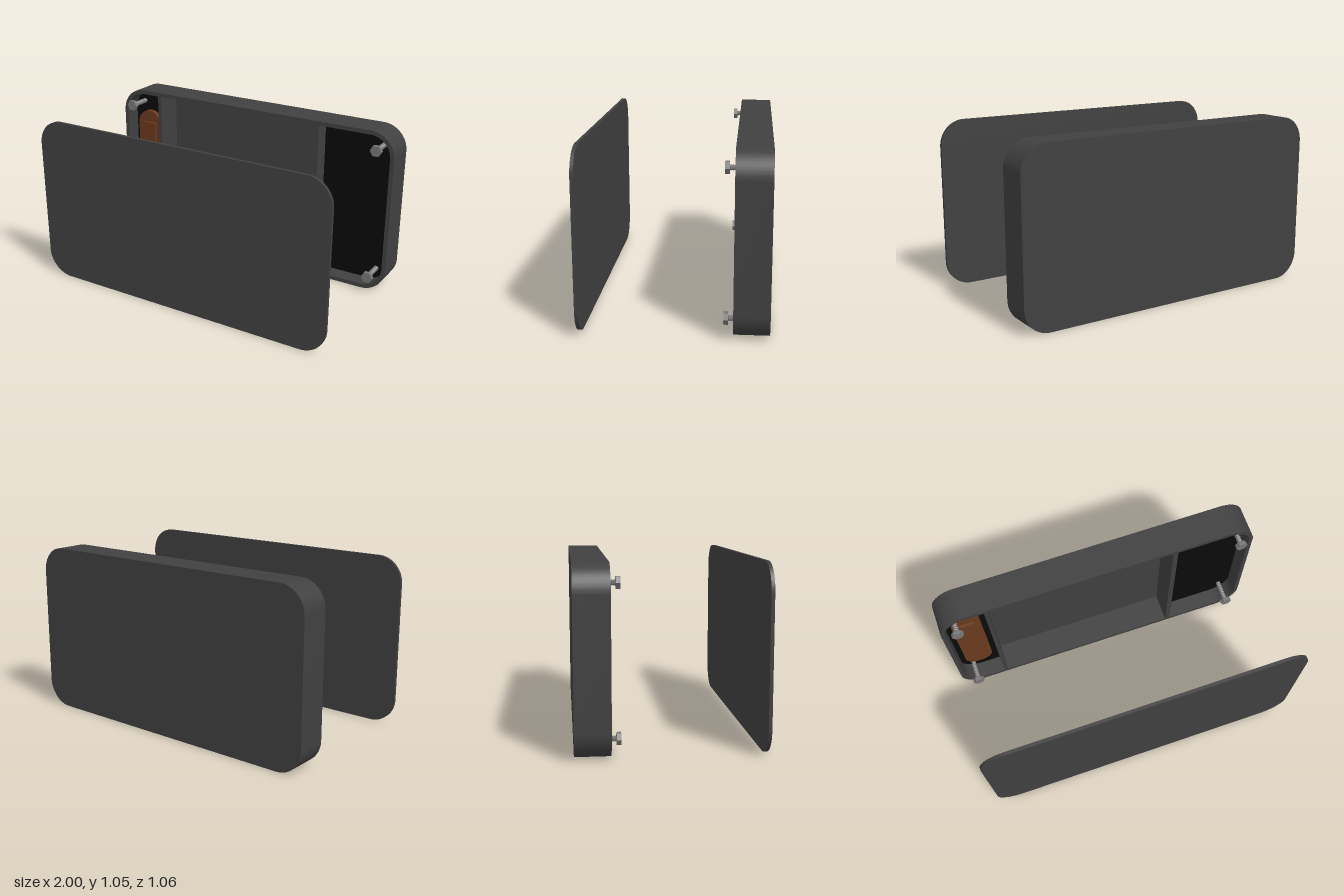
import * as THREE from 'three';
import { toCreasedNormals } from 'three/addons/utils/BufferGeometryUtils.js';

const W = 2, H = 1.055, R = 0.16, WALL = 0.026;
const MID = H / 2;
const BACK = -0.53, FLOOR = -0.51, PANEL = -0.435, RIM = -0.33;

const material = (color) => new THREE.MeshStandardMaterial({ color });

// Rounded outline from x0..x1, y0..y1 with separate radii for left and right corners
function outline(Type, x0, x1, y0, y1, rl, rr) {
  const s = new Type();
  s.moveTo(x0 + rl, y0);
  s.lineTo(x1 - rr, y0);
  if (rr) s.absarc(x1 - rr, y0 + rr, rr, -Math.PI / 2, 0);
  s.lineTo(x1, y1 - rr);
  if (rr) s.absarc(x1 - rr, y1 - rr, rr, 0, Math.PI / 2);
  s.lineTo(x0 + rl, y1);
  if (rl) s.absarc(x0 + rl, y1 - rl, rl, Math.PI / 2, Math.PI);
  s.lineTo(x0, y0 + rl);
  if (rl) s.absarc(x0 + rl, y0 + rl, rl, Math.PI, Math.PI * 1.5);
  return s;
}

// Extrude a shape between two depths, smooth around its curves
function slab(name, shape, z0, z1, mat) {
  const geo = new THREE.ExtrudeGeometry(shape, { depth: z1 - z0, bevelEnabled: false, curveSegments: 16 });
  const mesh = new THREE.Mesh(toCreasedNormals(geo, 0.6), mat);
  mesh.name = name;
  mesh.position.z = z0;
  return mesh;
}

// Hex-head screw pointing along z, origin at the front of its head
function screw(mat) {
  const g = new THREE.Group();
  g.name = 'screw';
  const hex = new THREE.Shape();
  for (let i = 0; i < 6; i++) {
    const a = (i * Math.PI) / 3;
    hex[i ? 'lineTo' : 'moveTo'](0.037 * Math.cos(a), 0.037 * Math.sin(a));
  }
  hex.closePath();
  g.add(slab('screwHead', hex, -0.025, 0, mat));

  // Threaded shaft as a ridged profile
  const profile = [new THREE.Vector2(0, 0)];
  const turns = 11, length = 0.138;
  for (let i = 0; i <= turns * 2; i++) {
    profile.push(new THREE.Vector2(i % 2 ? 0.017 : 0.013, (length * i) / (turns * 2)));
  }
  const shaft = new THREE.Mesh(toCreasedNormals(new THREE.LatheGeometry(profile, 16), 0.5), mat);
  shaft.name = 'screwShaft';
  shaft.rotation.x = Math.PI / 2;
  shaft.position.z = -0.025 - length;
  g.add(shaft);
  return g;
}

export function createModel() {
  const model = new THREE.Group();
  model.name = 'enclosure';
  const shell = material(0x404040);
  const black = material(0x0a0a0a);
  const steel = material(0x777777);
  const brown = material(0x6b3a1e);
  const body = () => outline(THREE.Shape, -W / 2, W / 2, 0, H, R, R);
  const ix = W / 2 - WALL, iy0 = WALL, iy1 = H - WALL, ir = R - WALL;

  // Detached front lid
  model.add(slab('lid', body(), 0.51, 0.53, shell));

  // Case: back plate and hollow rim
  model.add(slab('backPlate', body(), BACK, FLOOR, shell));
  const rim = body();
  rim.holes.push(outline(THREE.Path, -ix, ix, iy0, iy1, ir, ir));
  model.add(slab('rim', rim, FLOOR, RIM, shell));

  // Two dividing walls
  for (const [x0, x1] of [[-0.715, -0.69], [0.468, 0.5]]) {
    const wall = new THREE.Mesh(new THREE.BoxGeometry(x1 - x0, iy1 - iy0, RIM - FLOOR), shell);
    wall.name = 'divider';
    wall.position.set((x0 + x1) / 2, MID, (RIM + FLOOR) / 2);
    model.add(wall);
  }

  // Raised black panels in the end compartments
  model.add(slab('rightPanel', outline(THREE.Shape, -ix, -0.715, iy0, iy1, ir, 0), FLOOR, PANEL, black));
  model.add(slab('leftPanel', outline(THREE.Shape, 0.5, ix, iy0, iy1, 0, ir), FLOOR, PANEL, black));

  // Brown round-ended insert with a raised centre
  const cx = -0.845;
  model.add(slab('insertBase', outline(THREE.Shape, cx - 0.09, cx + 0.09, 0.166, 0.889, 0.088, 0.088), PANEL, -0.4, brown));
  model.add(slab('insertCentre', outline(THREE.Shape, cx - 0.058, cx + 0.058, 0.245, 0.81, 0.012, 0.012), -0.4, -0.385, brown));

  // Corner screws
  for (const x of [-0.9, 0.9]) {
    for (const y of [0.108, 0.95]) {
      const s = screw(steel);
      s.position.set(x, y, -0.275);
      model.add(s);
    }
  }
  return model;
}
